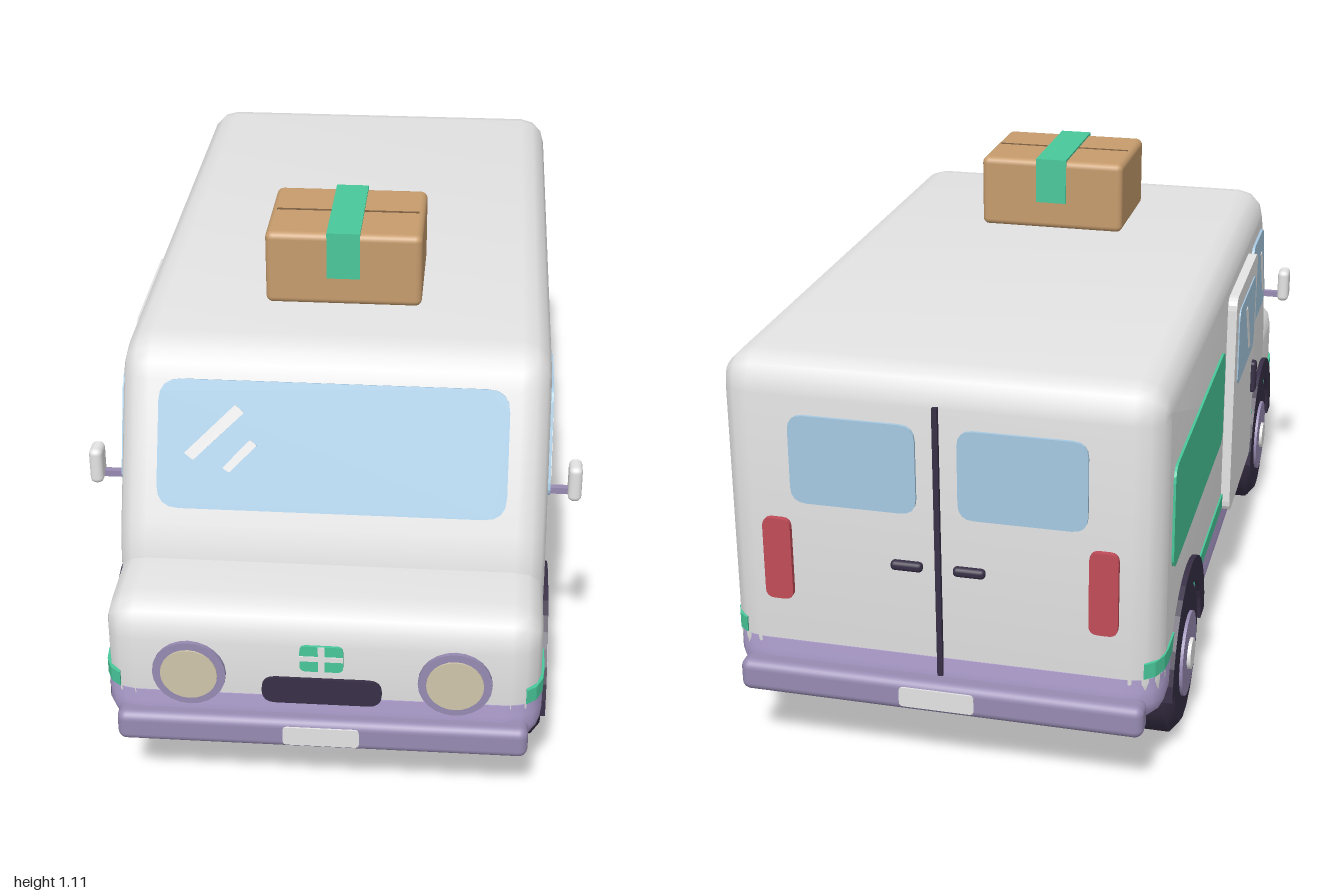
import * as THREE from 'three';
import { toCreasedNormals } from 'three/addons/utils/BufferGeometryUtils.js';
import { RoundedBoxGeometry } from 'three/addons/geometries/RoundedBoxGeometry.js';

const paint = (name, color) => Object.assign(new THREE.MeshStandardMaterial({ color }), { name });

export function createModel() {
  const white = paint('body white', 0xe4e4e4);
  const green = paint('green', 0x49c89b);
  const glass = paint('window blue', 0xa6cae3);
  const lavender = paint('lavender', 0xb2a2d2);
  const trim = paint('trim purple', 0x978bb2);
  const dark = paint('dark rubber', 0x382f46);
  const cream = paint('lamp cream', 0xd0c6ac);
  const red = paint('lamp red', 0xc04c58);
  const brown = paint('cardboard', 0xc69c6d);
  const seamBrown = paint('seam brown', 0x7d5f42);

  const van = new THREE.Group();
  van.name = 'deliveryVan';

  const add = (name, geo, mat, x = 0, y = 0, z = 0, parent = van) => {
    const mesh = new THREE.Mesh(geo, mat);
    mesh.name = name;
    mesh.position.set(x, y, z);
    parent.add(mesh);
    return mesh;
  };

  // Polygon with softened corners; a point may carry its own radius
  const poly = (pts, r = 0.02) => {
    const shape = new THREE.Shape();
    const n = pts.length;
    pts.forEach((p, i) => {
      const c = new THREE.Vector2(p[0], p[1]);
      const a = new THREE.Vector2(...pts[(i + n - 1) % n].slice(0, 2)).sub(c).setLength(p[2] ?? r).add(c);
      const b = new THREE.Vector2(...pts[(i + 1) % n].slice(0, 2)).sub(c).setLength(p[2] ?? r).add(c);
      if (i) shape.lineTo(a.x, a.y); else shape.moveTo(a.x, a.y);
      shape.quadraticCurveTo(c.x, c.y, b.x, b.y);
    });
    shape.closePath();
    return shape;
  };
  const rect = (x0, x1, y0, y1, r) => poly([[x0, y0], [x1, y0], [x1, y1], [x0, y1]], r);

  // Plate centred on its own plane, facing z
  const plate = (shape, depth = 0.009) =>
    new THREE.ExtrudeGeometry(shape, { depth, bevelEnabled: false, curveSegments: 4 }).translate(0, 0, -depth / 2);
  // Plate drawn in (z, y), facing sideways
  const sidePlate = (shape, depth) => plate(shape, depth).rotateY(-Math.PI / 2);

  // Side profile swept across the width with rounded edges
  const hull = (shape, halfWidth, bevel) => {
    const depth = 2 * (halfWidth - bevel);
    const geo = new THREE.ExtrudeGeometry(shape, {
      depth, bevelThickness: bevel, bevelSize: bevel, bevelOffset: -bevel, bevelSegments: 3, curveSegments: 4,
    });
    return toCreasedNormals(geo.translate(0, 0, -depth / 2).rotateY(-Math.PI / 2), 0.7);
  };

  // Main body and nose
  add('body', hull(poly([[-0.955, 0.2], [0.78, 0.2], [0.775, 0.5], [0.587, 0.935, 0.075], [-0.955, 0.935, 0.075]], 0.075), 0.475, 0.065), white);
  add('nose', hull(poly([[0.5, 0.2], [0.965, 0.2], [0.965, 0.495, 0.08], [0.5, 0.495]], 0.075), 0.472, 0.065), white);

  // Lower body, tucked in towards its bottom edge
  const sill = new THREE.ExtrudeGeometry(rect(-0.477, 0.477, -0.967, 0.957, 0.085), {
    depth: 0.12, steps: 4, bevelEnabled: false, curveSegments: 4,
  }).rotateX(-Math.PI / 2);
  const pos = sill.attributes.position;
  for (let i = 0; i < pos.count; i++) {
    const tuck = 0.03 * Math.max(0, 1 - pos.getY(i) / 0.06) ** 2;
    pos.setX(i, pos.getX(i) * (1 - tuck / 0.477));
    pos.setZ(i, pos.getZ(i) * (1 - tuck / 0.96));
  }
  add('lowerBody', toCreasedNormals(sill, 0.7), lavender, 0, 0.165, 0);

  // Windscreen on the raked front
  const screen = new THREE.Group();
  screen.name = 'windscreen';
  screen.position.set(0, 0.737, 0.676);
  screen.rotation.x = -Math.atan(0.433);
  van.add(screen);
  add('windscreenGlass', plate(rect(-0.385, 0.385, -0.143, 0.143, 0.05)), glass, 0, 0, 0, screen);
  const glints = [
    [[-0.325, -0.02], [-0.305, -0.035], [-0.195, 0.073], [-0.215, 0.09]],
    [[-0.24, -0.05], [-0.225, -0.06], [-0.165, 0.002], [-0.18, 0.014]],
  ];
  glints.forEach((g) => add('windscreenGlint', plate(poly(g, 0.003), 0.004), white, 0, 0, 0.005, screen));

  // Both sides
  const cabWindow = poly([[0.35, 0.6], [0.635, 0.6, 0.04], [0.545, 0.83], [0.35, 0.83]], 0.025);
  const sideGlint = (z, y) => poly([[z, y], [z - 0.025, y], [z - 0.1, y + 0.13], [z - 0.075, y + 0.13]], 0.003);
  const stripe = poly([[0.44, -0.955], [0.462, -0.937], [0.476, -0.905], [0.479, -0.87], [0.479, 0.88],
    [0.476, 0.915], [0.462, 0.947], [0.44, 0.965]], 0.002);
  const arch = new THREE.Shape();
  arch.absarc(0, 0, 0.222, 0, Math.PI, false);
  arch.absarc(0, 0, 0.165, Math.PI, 0, true);
  const archGeo = new THREE.ExtrudeGeometry(arch, { depth: 0.1, bevelEnabled: false, curveSegments: 9 })
    .translate(0, 0, -0.05).rotateY(-Math.PI / 2);
  const tyreProfile = [[0, -0.07], [0.155, -0.07], [0.18, -0.05], [0.18, 0.05], [0.155, 0.07], [0, 0.07]];
  const tyreGeo = toCreasedNormals(
    new THREE.LatheGeometry(tyreProfile.map((p) => new THREE.Vector2(...p)), 18).rotateZ(Math.PI / 2), 0.5);
  const disc = (r, d) => new THREE.CylinderGeometry(r, r, d, 20).rotateZ(Math.PI / 2);

  for (const s of [1, -1]) {
    const side = s > 0 ? 'left' : 'right';
    add(side + 'CabWindow', sidePlate(cabWindow), glass, s * 0.477);
    add(side + 'CabGlint', sidePlate(sideGlint(0.595, 0.64), 0.003), white, s * 0.482);
    add(side + 'Panel', sidePlate(rect(-0.848, s > 0 ? 0.281 : -0.14, 0.495, 0.73, 0.035)), green, s * 0.476);

    const band = new THREE.ExtrudeGeometry(stripe, { depth: 0.035, bevelEnabled: false, curveSegments: 1 })
      .rotateX(Math.PI / 2).translate(0, 0.325, 0);
    const bandMesh = add(side + 'Stripe', band, green);
    if (s < 0) bandMesh.geometry = band.rotateZ(Math.PI).translate(0, 0.615, 0);

    // Mirror on its arm
    add(side + 'MirrorArm', new THREE.BoxGeometry(0.07, 0.015, 0.015), trim, s * 0.5, 0.62, 0.615);
    add(side + 'Mirror', new RoundedBoxGeometry(0.03, 0.086, 0.055, 3, 0.013), white, s * 0.535, 0.648, 0.62);

    // Wheels and arches
    for (const [end, z] of [['Front', 0.639], ['Rear', -0.634]]) {
      const wheel = new THREE.Group();
      wheel.name = side + end + 'Wheel';
      wheel.position.set(0, 0.18, z);
      van.add(wheel);
      add('tyre', tyreGeo, dark, s * 0.411, 0, 0, wheel);
      add('hub', disc(0.097, 0.04), trim, s * 0.468, 0, 0, wheel);
      add('hubCap', disc(0.036, 0.04), white, s * 0.476, 0, 0, wheel);
      add('wheelArch', archGeo, dark, s * 0.437, 0, 0, wheel);
    }

    // Headlamp
    const ring = new THREE.CylinderGeometry(0.08, 0.08, 0.02, 24).rotateX(Math.PI / 2);
    const lens = new THREE.CylinderGeometry(0.062, 0.062, 0.02, 24).rotateX(Math.PI / 2);
    add(side + 'HeadlampRing', ring, trim, s * 0.287, 0.338, 0.964);
    add(side + 'HeadlampLens', lens, cream, s * 0.287, 0.338, 0.968);

    // Rear door details
    const [a, b] = s > 0 ? [0.045, 0.32] : [-0.32, -0.045];
    add(side + 'RearWindow', plate(rect(a, b, 0.62, 0.82, 0.035)), glass, 0, 0, -0.957);
    add(side + 'TailLamp', plate(rect(-0.031, 0.031, -0.095, 0.095, 0.02), 0.02), red, s * 0.355, 0.485, -0.957);
    add(side + 'RearHandle', new RoundedBoxGeometry(0.07, 0.022, 0.02, 2, 0.009), dark, s * 0.068, 0.5, -0.962);
  }
  add('rearDoorGap', new THREE.BoxGeometry(0.012, 0.62, 0.016), dark, 0, 0.555, -0.957);

  // Sliding door on the right side
  add('slidingDoor', sidePlate(rect(-0.09, 0.3, 0.275, 0.84, 0.03), 0.03), white, -0.482);
  add('slidingDoorWindow', sidePlate(rect(-0.045, 0.255, 0.6, 0.795, 0.03), 0.006), glass, -0.497);
  add('slidingDoorGlint', sidePlate(sideGlint(0.17, 0.63), 0.003), white, -0.5005);
  add('slidingDoorHandle', new RoundedBoxGeometry(0.02, 0.085, 0.03, 2, 0.008), dark, -0.5, 0.508, 0.265);

  // Front grille and nose vent with its bars
  add('grille', plate(rect(-0.13, 0.13, 0.27, 0.335, 0.03), 0.016), dark, 0, 0, 0.964);
  add('noseVent', plate(rect(-0.047, 0.047, 0.355, 0.42, 0.014)), green, 0, 0, 0.966);
  add('ventBarUpright', new THREE.BoxGeometry(0.014, 0.065, 0.004), white, 0, 0.3875, 0.971);
  add('ventBarAcross', new THREE.BoxGeometry(0.094, 0.012, 0.004), white, 0, 0.389, 0.971);

  // Bumpers with blank plates
  for (const [name, z, s] of [['front', 0.968, 1], ['rear', -0.966, -1]]) {
    add(name + 'Bumper', new RoundedBoxGeometry(0.895, 0.074, 0.062, 3, 0.02), trim, 0, 0.203, z);
    add(name + 'Plate', plate(rect(-0.083, 0.083, 0.18, 0.226, 0.01), 0.006), white, 0, 0, z + s * 0.031);
  }

  // Parcel on the roof
  const parcel = new THREE.Group();
  parcel.name = 'roofParcel';
  parcel.position.set(0, 0.932, 0.217);
  van.add(parcel);
  add('parcelBox', new RoundedBoxGeometry(0.357, 0.175, 0.284, 3, 0.016), brown, 0, 0.0875, 0, parcel);
  add('parcelSeam', new THREE.BoxGeometry(0.33, 0.003, 0.006), seamBrown, 0, 0.175, 0, parcel);
  add('parcelTapeTop', new THREE.BoxGeometry(0.076, 0.006, 0.292), green, 0, 0.177, 0, parcel);
  for (const s of [1, -1]) {
    add('parcelTapeEnd', new THREE.BoxGeometry(0.076, 0.11, 0.006), green, 0, 0.124, s * 0.143, parcel);
  }
  return van;
}
